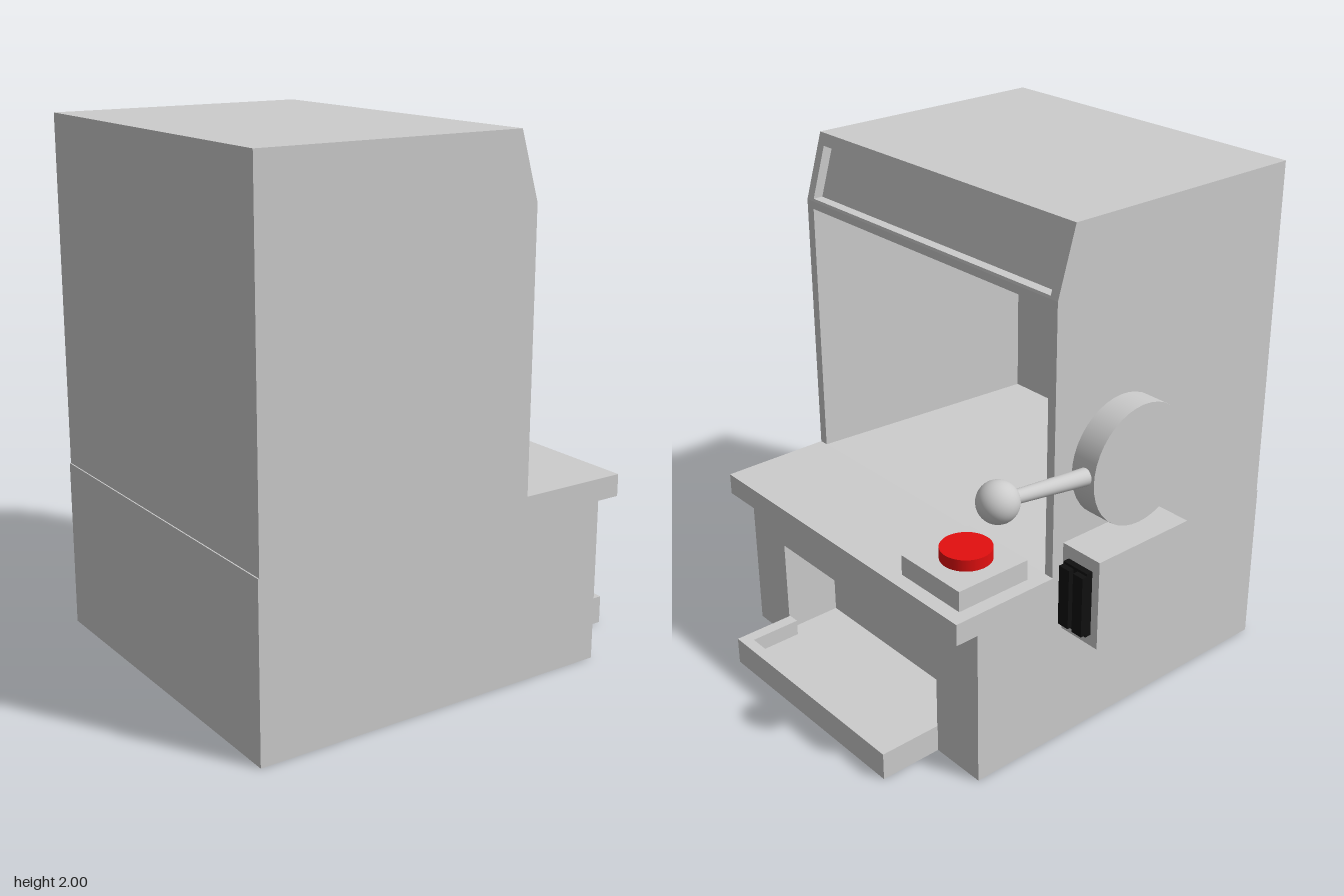
import * as THREE from 'three';

export function createModel() {
  const model = new THREE.Group();
  const mat = (name, color) => {
    const m = new THREE.MeshStandardMaterial({ color });
    m.name = name;
    return m;
  };
  const grey = mat('cabinet grey', 0xcccccc);
  const red = mat('button red', 0xe30f0f);
  const black = mat('slot black', 0x101010);

  const add = (name, geometry, material = grey) => {
    const mesh = new THREE.Mesh(geometry, material);
    mesh.name = name;
    model.add(mesh);
    return mesh;
  };
  // Box given by its limits on each axis
  const box = (name, [x0, x1], [y0, y1], [z0, z1], material) =>
    add(name, new THREE.BoxGeometry(x1 - x0, y1 - y0, z1 - z0), material)
      .position.set((x0 + x1) / 2, (y0 + y1) / 2, (z0 + z1) / 2);
  // Side profile extruded from z0 to z1
  const slab = (name, points, z0, z1) => {
    const shape = new THREE.Shape(points.map(([x, y]) => new THREE.Vector2(x, y)));
    const g = new THREE.ExtrudeGeometry(shape, { depth: z1 - z0, bevelEnabled: false });
    add(name, g.translate(0, 0, z0));
  };

  const back = -0.61, front = 0.788;

  // Lower cabinet: solid ends with a chute recess between them
  const baseTop = [[0.255, 0.625], [0.255, 0.66], [-0.855, 0.66], [-0.855, 0]];
  const baseEnd = [[0.6, 0], [0.6, 0.625], ...baseTop];
  const chute = [[0.6, 0], [0.6, 0.045], [0.37, 0.045], [0.37, 0.44], [0.6, 0.44], [0.6, 0.625], ...baseTop];
  slab('baseEndRight', baseEnd, back, -0.38);
  slab('baseChute', chute, -0.38, 0.577);
  slab('baseEndLeft', baseEnd, 0.577, front);

  // Upper cabinet: side panels and a hollow core with the sign recess
  const side = [[-0.85, 0.66], [0.255, 0.66], [0.255, 1.75], [0.18, 2], [-0.85, 2]];
  slab('sidePanelRight', side, back, -0.573);
  slab('sidePanelLeft', side, 0.75, front);
  slab('cabinetCore', [
    [-0.85, 0.655], [0.255, 0.655], [0.255, 0.71], [-0.8, 0.662],
    [-0.8, 1.67], [0.255, 1.72], [0.255, 1.75], [0.252, 1.76],
    [0.212, 1.76], [0.153, 1.955], [0.1935, 1.955], [0.18, 2], [-0.85, 2],
  ], -0.573, 0.75);

  // Control deck with button
  box('controlDeck', [0.255, 0.695], [0.625, 0.71], [back - 0.003, front]);
  box('buttonBase', [0.327, 0.638], [0.71, 0.79], [-0.56, -0.245]);
  add('button', new THREE.CylinderGeometry(0.096, 0.096, 0.045, 40), red)
    .position.set(0.475, 0.8125, -0.404);

  // Prize tray
  box('trayFloor', [0.6, 0.806], [0, 0.045], [-0.335, 0.522]);
  box('trayFrontRim', [0.806, 0.85], [0, 0.11], [-0.382, 0.57]);
  box('traySideRimRight', [0.6, 0.806], [0, 0.11], [-0.382, -0.335]);
  box('traySideRimLeft', [0.6, 0.806], [0, 0.11], [0.522, 0.57]);

  // Lever: hub disc, tapered arm and ball
  const hub = new THREE.CylinderGeometry(0.23, 0.23, 0.11, 40).rotateX(Math.PI / 2);
  add('leverHub', hub).position.set(-0.057, 1.097, -0.663);
  const from = new THREE.Vector3(0.02, 1.09, -0.67), to = new THREE.Vector3(0.57, 1.163, -0.68);
  const dir = to.clone().sub(from);
  const arm = add('leverArm', new THREE.CylinderGeometry(0.023, 0.036, dir.length(), 24));
  arm.position.copy(from).add(to).multiplyScalar(0.5);
  arm.quaternion.setFromUnitVectors(new THREE.Vector3(0, 1, 0), dir.normalize());
  add('leverBall', new THREE.SphereGeometry(0.074, 32, 20)).position.copy(to);

  // Coin box with raised slot plate
  box('coinBox', [-0.235, 0.205], [0.48, 0.835], [-0.79, back]);
  box('coinPlate', [0.205, 0.23], [0.525, 0.785], [-0.757, -0.64], black);
  box('coinSlotRidge', [0.23, 0.252], [0.535, 0.775], [-0.757, -0.71], black);
  box('coinSlotRidge', [0.23, 0.252], [0.535, 0.775], [-0.69, -0.64], black);

  return model;
}
